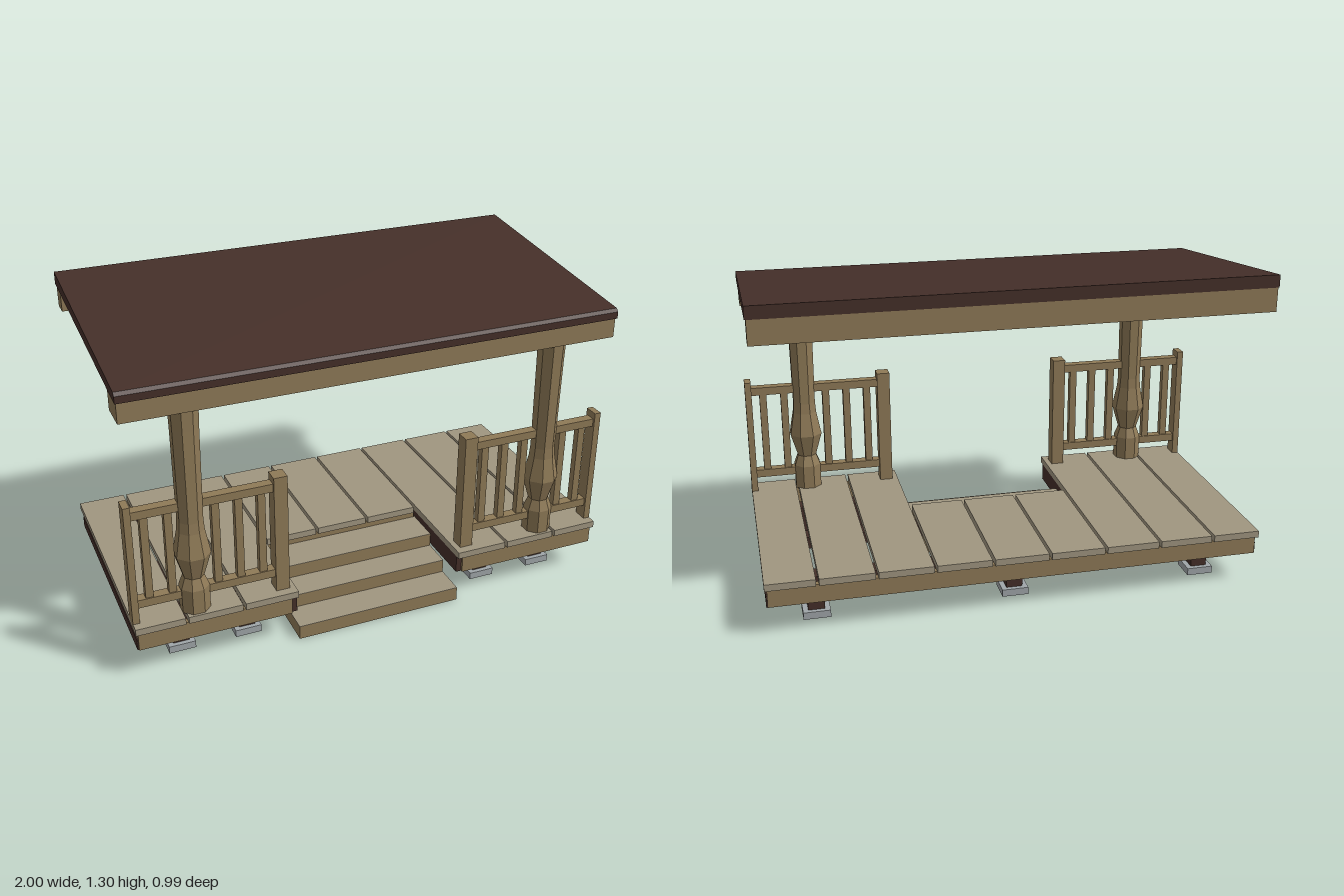
import * as THREE from 'three';

export function createModel() {
  const model = new THREE.Group();
  model.name = 'porch';

  const material = (name, color) => {
    const m = new THREE.MeshStandardMaterial({ color });
    m.name = name;
    return m;
  };
  const timber = material('tan timber', 0x8f7a57);
  const plank = material('pale planks', 0xa09680);
  const dark = material('dark brown wood', 0x452f29);
  const stone = material('grey stone', 0xa0a6a9);
  const turned = timber;

  const add = (name, geometry, mat, parent = model) => {
    const mesh = new THREE.Mesh(geometry, mat);
    mesh.name = name;
    parent.add(mesh);
    return mesh;
  };
  // Box given by its minimum and maximum on each axis
  const box = (name, mat, [x0, x1], [y0, y1], [z0, z1], parent = model) => {
    const g = new THREE.BoxGeometry(x1 - x0, y1 - y0, z1 - z0);
    g.translate((x0 + x1) / 2, (y0 + y1) / 2, (z0 + z1) / 2);
    return add(name, g, mat, parent);
  };
  // Profile of [z, y] points stretched along x, centred on x = 0
  const prism = (name, mat, points, width) => {
    const shape = new THREE.Shape(points.map(([z, y]) => new THREE.Vector2(z, y)));
    const g = new THREE.ExtrudeGeometry(shape, { depth: width, bevelEnabled: false });
    g.translate(0, 0, -width / 2);
    g.rotateY(-Math.PI / 2);
    return add(name, g, mat);
  };
  const group = (name) => {
    const g = new THREE.Group();
    g.name = name;
    model.add(g);
    return g;
  };

  // Sloping roof with a pale lining
  prism('roof', dark, [[0.495, 1.16], [0.495, 1.188], [0.483, 1.2], [-0.495, 1.3], [-0.495, 1.25]], 2);
  prism('roofLining', plank, [[0.485, 1.157], [0.485, 1.163], [-0.493, 1.252], [-0.493, 1.246]], 1.985);
  prism('frontBeam', timber, [[0.365, 1.08], [0.488, 1.08], [0.488, 1.163], [0.365, 1.174]], 1.99);
  prism('backBeam', timber, [[-0.495, 1.155], [-0.426, 1.155], [-0.426, 1.246], [-0.495, 1.252]], 1.99);

  // Deck planks; the middle three stop short at the stairs
  const deck = group('deck');
  const joints = [-1, -0.8, -0.573, -0.345, -0.115, 0.115, 0.345, 0.573, 0.8, 1];
  const gap = 0.006;
  for (let i = 0; i < 9; i++) {
    const x0 = joints[i] + (i > 0 ? gap : 0);
    const x1 = joints[i + 1] - (i < 8 ? gap : 0);
    const front = i >= 3 && i <= 5 ? 0.095 : 0.495;
    box('deckPlank', plank, [x0, x1], [0.2, 0.228], [-0.495, front], deck);
  }

  // Frame below the deck
  const frame = group('deckFrame');
  box('backFascia', timber, [-0.99, 0.99], [0.125, 0.2], [-0.483, -0.456], frame);
  box('stairHeader', timber, [-0.345, 0.345], [0.125, 0.2], [0.06, 0.085], frame);
  box('backBearer', dark, [-0.955, 0.955], [0.122, 0.172], [-0.365, -0.295], frame);
  box('middleBearer', dark, [-0.955, 0.955], [0.122, 0.172], [-0.01, 0.06], frame);

  for (const s of [-1, 1]) {
    const span = (a, b) => (s > 0 ? [a, b] : [-b, -a]);
    box('frontFascia', timber, span(0.375, 0.99), [0.125, 0.2], [0.46, 0.485], frame);
    box('endBoard', timber, span(0.955, 0.975), [0.13, 0.2], [-0.456, 0.46], frame);
    box('endBearer', dark, span(0.975, 0.995), [0.122, 0.17], [-0.476, 0.476], frame);
    box('frontBearer', dark, span(0.375, 0.955), [0.122, 0.172], [0.295, 0.365], frame);
    box('stairSideJoist', dark, span(0.352, 0.375), [0.125, 0.2], [0.06, 0.475], frame);

    // Turned eight-sided column; radii are half the width across flats
    const profile = [[0.055, 0.225], [0.055, 0.33], [0.039, 0.375], [0.067, 0.475],
      [0.049, 0.575], [0.046, 0.62], [0.05, 1], [0.052, 1.085]];
    const points = profile.map(([r, y]) => new THREE.Vector2(r / Math.cos(Math.PI / 8), y));
    const lathe = new THREE.LatheGeometry(points, 8, Math.PI / 8).toNonIndexed();
    lathe.computeVertexNormals();
    lathe.translate(s * 0.75, 0, 0.43);
    add('turnedColumn', lathe, turned);

    // Railing
    const rail = group(s > 0 ? 'leftRailing' : 'rightRailing');
    box('innerRailPost', timber, span(0.375, 0.43), [0.2, 0.73], [0.398, 0.458], rail);
    box('outerRailPost', timber, span(0.973, 1), [0.2, 0.73], [0.398, 0.458], rail);
    box('topRail', timber, span(0.43, 0.973), [0.668, 0.702], [0.408, 0.448], rail);
    box('bottomRail', timber, span(0.43, 0.973), [0.288, 0.322], [0.408, 0.448], rail);
    for (let i = 0; i < 6; i++) {
      const x = 0.475 + i * 0.09;
      box('baluster', timber, span(x - 0.015, x + 0.015), [0.32, 0.67], [0.413, 0.443], rail);
    }
  }

  // Short piers standing on stone pads
  const piers = [[-0.8, 0.333], [-0.527, 0.333], [0.527, 0.333], [0.8, 0.333],
    [-0.8, -0.33], [0, -0.33], [0.8, -0.33]];
  for (const [x, z] of piers) {
    const pier = group('pier');
    box('pierPost', dark, [x - 0.033, x + 0.033], [0.03, 0.125], [z - 0.035, z + 0.035], pier);
    box('pierPad', stone, [x - 0.054, x + 0.054], [0, 0.03], [z - 0.054, z + 0.054], pier);
  }

  // Solid stairs with pale treads
  const fronts = [0.495, 0.365, 0.24];
  const rise = 0.057;
  const outline = [[0.083, 0]];
  fronts.forEach((z, i) => outline.push([z, i * rise], [z, (i + 1) * rise]));
  outline.push([0.083, 3 * rise]);
  prism('stairs', timber, outline, 0.7);
  fronts.forEach((z, i) => {
    const y = (i + 1) * rise;
    box('stairTread', plank, [-0.35, 0.35], [y, y + 0.002], [fronts[i + 1] ?? 0.083, z]);
  });

  return model;
}
